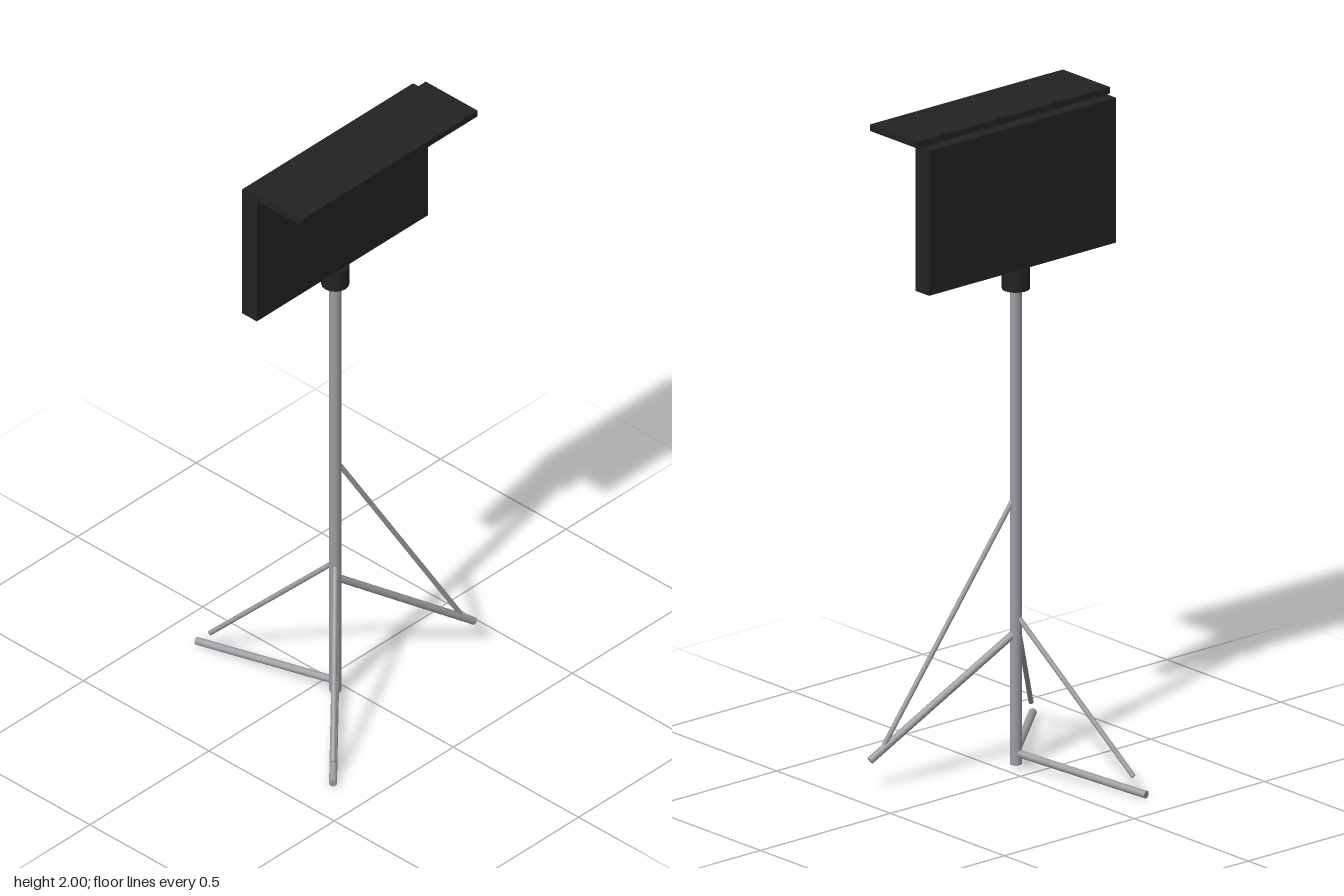
import * as THREE from 'three';

const black = new THREE.MeshStandardMaterial({ color: 0x222222 });
black.name = 'matte black';
const metal = new THREE.MeshStandardMaterial({ color: 0x9c9ca2 });
metal.name = 'grey metal';

const POLE_X = -0.042, POLE_Z = 0.069;

export function createModel() {
  const model = new THREE.Group();
  model.name = 'tripodStand';

  const add = (name, geometry, material) => {
    const mesh = new THREE.Mesh(geometry, material);
    mesh.name = name;
    model.add(mesh);
    return mesh;
  };

  // Box given by its minimum and maximum corners
  const box = (name, min, max) => {
    const size = max.map((v, i) => v - min[i]);
    add(name, new THREE.BoxGeometry(...size), black)
      .position.set(...max.map((v, i) => (v + min[i]) / 2));
  };

  // Round rod between two points
  const rod = (name, from, to, radius, material = metal) => {
    const a = new THREE.Vector3(...from), b = new THREE.Vector3(...to);
    const dir = b.clone().sub(a);
    const mesh = add(name, new THREE.CylinderGeometry(radius, radius, dir.length(), 16), material);
    mesh.position.copy(a).add(b).multiplyScalar(0.5);
    mesh.quaternion.setFromUnitVectors(new THREE.Vector3(0, 1, 0), dir.normalize());
  };
  const onPole = (y) => [POLE_X, y, POLE_Z];

  // Panel with its hood on top
  box('panel', [-0.4, 1.537, 0.037], [0.319, 1.98, 0.096]);
  box('hood', [-0.411, 1.98, 0.077], [0.33, 2, 0.284]);

  // Pole and collar
  rod('pole', onPole(0.015), onPole(1.5), 0.0175);
  rod('collar', onPole(1.47), onPole(1.537), 0.041, black);

  // Three legs, each with a thinner brace
  const legs = [
    { side: 'frontRight', hub: 0.05, foot: [-0.38, 0.016, 0.381], top: 0.475, end: [-0.348, 0.062, 0.352] },
    { side: 'back', hub: 0.05, foot: [-0.144, 0.016, -0.388], top: 0.475, end: [-0.135, 0.062, -0.342] },
    { side: 'left', hub: 0.42, foot: [0.404, 0.092, 0.2], top: 0.84, end: [0.36, 0.135, 0.187] },
  ];
  for (const { side, hub, foot, top, end } of legs) {
    rod(`${side}Leg`, onPole(hub), foot, 0.0115);
    rod(`${side}Brace`, onPole(top), end, 0.0075);
  }
  return model;
}
